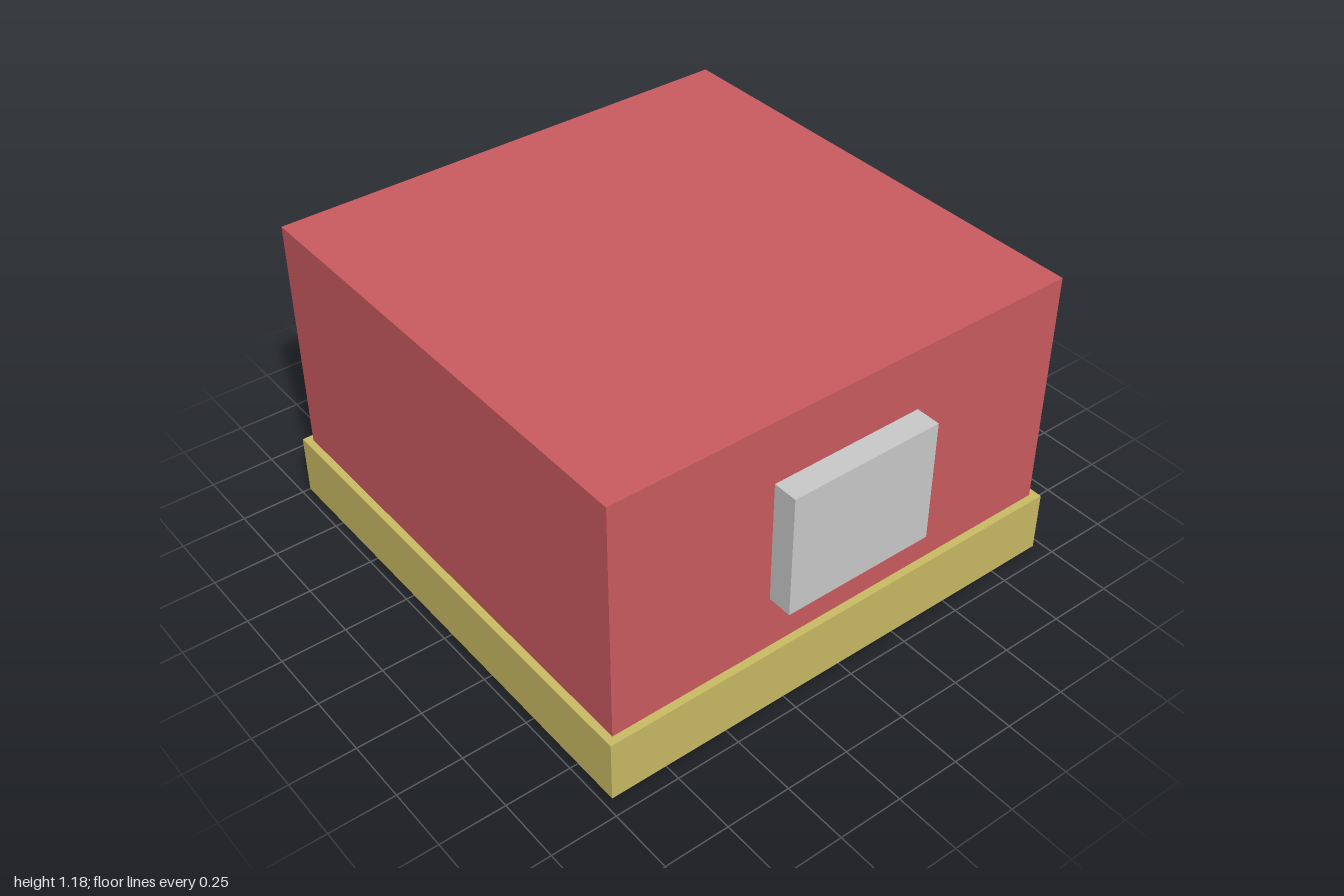
import * as THREE from 'three';

const material = (name, color) => {
  const m = new THREE.MeshStandardMaterial({ color });
  m.name = name;
  return m;
};

// Box given by its lower and upper corners
function block(name, mat, [x0, y0, z0], [x1, y1, z1]) {
  const mesh = new THREE.Mesh(new THREE.BoxGeometry(x1 - x0, y1 - y0, z1 - z0), mat);
  mesh.position.set((x0 + x1) / 2, (y0 + y1) / 2, (z0 + z1) / 2);
  mesh.name = name;
  return mesh;
}

export function createModel() {
  const red = material('red', 0xc95b60);
  const yellow = material('ochre yellow', 0xc8ba63);
  const grey = material('light grey', 0xc9c9c9);

  const model = new THREE.Group();
  model.name = 'box on plinth';
  model.add(
    // Wide plinth under the body
    block('base', yellow, [-1, 0, -0.968], [0.935, 0.243, 0.968]),
    // Main body
    block('body', red, [-0.971, 0.243, -0.939], [0.905, 1.184, 0.939]),
    // Raised plate on the +x side
    block('sidePanel', grey, [0.905, 0.458, -0.303], [1, 0.94, 0.303])
  );
  return model;
}
